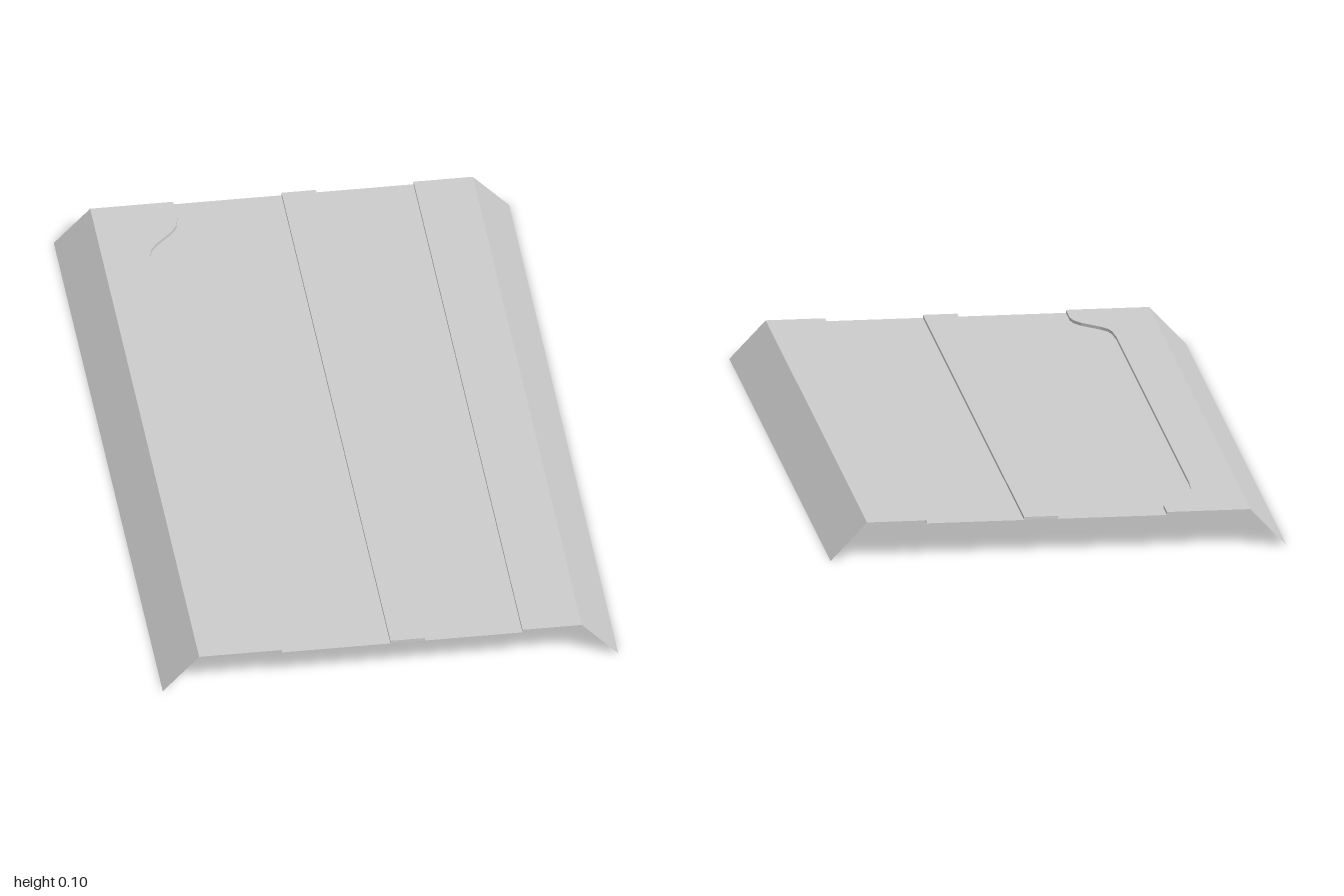
import * as THREE from 'three';

const HIGH = 0.1, LOW = 0.092;
const material = new THREE.MeshStandardMaterial({ color: 0xcccccc, side: THREE.DoubleSide, flatShading: true });

// Half of the curved step seen from above, as [x, z] from the middle to the end
const stepHalf = [
  [-0.378, 0.72], [-0.374, 0.775], [-0.368, 0.8], [-0.35, 0.825],
  [-0.305, 0.87], [-0.29, 0.895], [-0.283, 0.925], [-0.283, 1],
];
const stepPath = [...stepHalf.map(([x, z]) => [x, -z]).reverse(), ...stepHalf];

// Lines running from back to front: along the curved step, or straight at one x
const curved = (y) => stepPath.map(([x, z]) => [x, y, z]);
const straight = (x, y) => stepPath.map(([, z]) => [x, y, z]);

// Sheet spanned between a left and a right line
function sheet(name, left, right) {
  const index = [];
  for (let i = 0; i < left.length - 1; i++) {
    const a = 2 * i;
    index.push(a, a + 2, a + 1, a + 2, a + 3, a + 1);
  }
  const points = left.flatMap((p, i) => [...p, ...right[i]]);
  const indexed = new THREE.BufferGeometry();
  indexed.setAttribute('position', new THREE.Float32BufferAttribute(points, 3));
  indexed.setIndex(index);
  const geometry = indexed.toNonIndexed();
  geometry.computeVertexNormals();
  const mesh = new THREE.Mesh(geometry, material);
  mesh.name = name;
  return mesh;
}

export function createModel() {
  const model = new THREE.Group();
  model.name = 'formedPanel';

  // Cross-section from right to left: the line each neighbouring sheet shares
  const lines = [
    straight(-0.595, 0), straight(-0.5, HIGH),
    curved(HIGH), curved(LOW),
    straight(0, LOW), straight(0, HIGH),
    straight(0.09, HIGH), straight(0.09, LOW),
    straight(0.345, LOW), straight(0.345, HIGH),
    straight(0.5, HIGH), straight(0.595, 0),
  ];
  const names = [
    'rightFlange', 'rightBorder', 'curvedStep', 'wideRecess', 'ribRightWall', 'ribTop',
    'ribLeftWall', 'narrowRecess', 'leftStep', 'leftBorder', 'leftFlange',
  ];
  names.forEach((name, i) => model.add(sheet(name, lines[i], lines[i + 1])));

  // End caps closing the raised rib
  for (const side of [-1, 1]) {
    const cap = new THREE.Mesh(new THREE.PlaneGeometry(0.09, HIGH - LOW), material);
    cap.name = side > 0 ? 'ribFrontCap' : 'ribBackCap';
    cap.position.set(0.045, (HIGH + LOW) / 2, side);
    if (side < 0) cap.rotation.y = Math.PI;
    model.add(cap);
  }
  return model;
}
